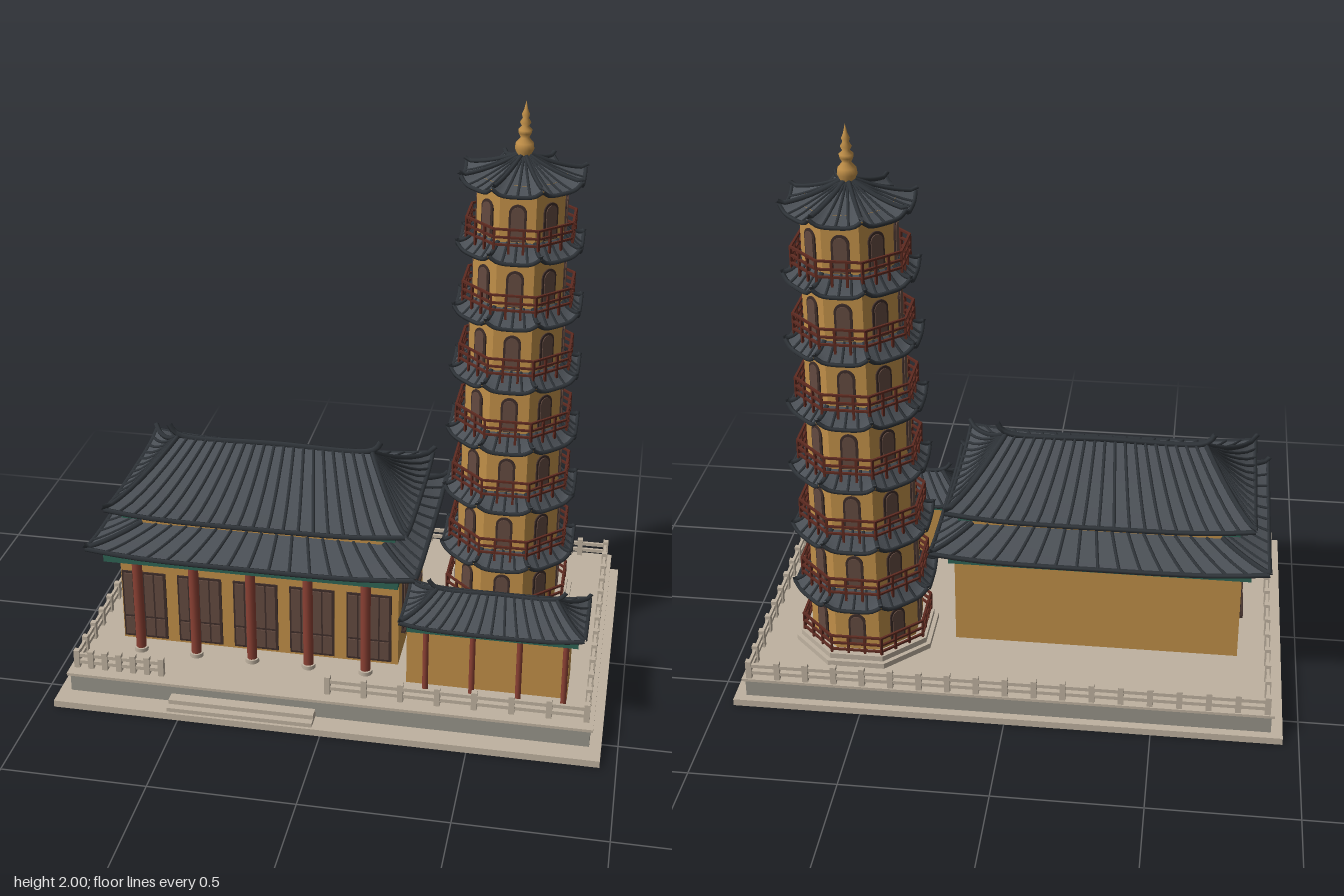
import * as THREE from 'three';
import { mergeGeometries } from 'three/addons/utils/BufferGeometryUtils.js';

const mat = (name, color, side = THREE.FrontSide) => {
  const m = new THREE.MeshStandardMaterial({ color, side });
  m.name = name;
  return m;
};
const V = (x, y, z) => new THREE.Vector3(x, y, z);

export function createModel() {
  const M = {
    stone: mat('pale stone', 0xbfb2a0),
    grey: mat('grey stone', 0x98958a),
    wall: mat('ochre wall', 0xc08f48),
    tile: mat('roof tile', 0x4a4f55, THREE.DoubleSide),
    ridge: mat('dark ridge tile', 0x30353a),
    green: mat('green beam', 0x2f6455),
    red: mat('red column', 0x8a4033),
    rail: mat('dark red rail', 0x5e2a20),
    dark: mat('dark frame', 0x3f2e2a),
    panel: mat('brown panel', 0x634a40),
    };
  M.gold = M.wall; // the finial shares the ochre
  const root = new THREE.Group();
  root.name = 'templeAndPagoda';

  // Merge geometries of one colour into one named mesh
  const add = (parent, name, material, geos) => {
    const flat = geos.map((g) => {
      const n = g.index ? g.toNonIndexed() : g;
      n.deleteAttribute('uv');
      return n;
    });
    const mesh = new THREE.Mesh(mergeGeometries(flat), material);
    mesh.name = name;
    parent.add(mesh);
    return mesh;
  };
  const group = (name) => {
    const g = new THREE.Group();
    g.name = name;
    root.add(g);
    return g;
  };
  // Box from minimum and maximum on each axis
  const box = (x0, x1, y0, y1, z0, z1) =>
    new THREE.BoxGeometry(x1 - x0, y1 - y0, z1 - z0).translate((x0 + x1) / 2, (y0 + y1) / 2, (z0 + z1) / 2);
  const post = (x, z, y0, y1, r) => new THREE.CylinderGeometry(r, r, y1 - y0, 12).translate(x, (y0 + y1) / 2, z);
  const tube = (pts, r, n = 6) => new THREE.TubeGeometry(new THREE.CatmullRomCurve3(pts), n, r, 5);
  const rect = (x0, x1, z0, z1) => [[x0, z1], [x1, z1], [x1, z0], [x0, z0]];
  const octagon = (apothem, cx, cz) => Array.from({ length: 8 }, (_, i) => {
    const a = (i - 0.5) * Math.PI / 4, r = apothem / Math.cos(Math.PI / 8);
    return [cx + r * Math.sin(a), cz + r * Math.cos(a)];
  });
  const octPrism = (a, y0, y1) => {
    const r = a / Math.cos(Math.PI / 8);
    const g = new THREE.CylinderGeometry(r, r, y1 - y0, 8).rotateY(Math.PI / 8).translate(0, (y0 + y1) / 2, 0).toNonIndexed();
    g.computeVertexNormals();
    return g;
  };

  // Curved roof between an outer and an inner ring, with ribs, hips and eave rolls
  function roof(parent, name, outer, inner, y0, y1, lift, ribs, r, power = 1.4) {
    const sheets = [], rolls = [], n = outer.length, NS = 12, NT = 6;
    outer.forEach((a0, i) => {
      const j = (i + 1) % n, a1 = outer[j], b0 = inner[i], b1 = inner[j];
      const at = (s, t, up = 0) => {
        const f = (k) => THREE.MathUtils.lerp(a0[k] + (a1[k] - a0[k]) * s, b0[k] + (b1[k] - b0[k]) * s, t);
        const y = y0 + (y1 - y0) * Math.pow(Math.max(t, 0), power) + lift * Math.pow(Math.abs(2 * s - 1), 4) * (1 - t) ** 2;
        return V(f(0), y + up, f(1));
      };
      const pos = [], idx = [];
      for (let u = 0; u <= NS; u++) for (let v = 0; v <= NT; v++) {
        pos.push(...at(u / NS, v / NT).toArray());
        const q = u * (NT + 1) + v, w = q + NT + 1;
        if (u < NS && v < NT) idx.push(q, w, w + 1, q, w + 1, q + 1);
      }
      const g = new THREE.BufferGeometry();
      g.setAttribute('position', new THREE.Float32BufferAttribute(pos, 3));
      g.setIndex(idx);
      g.computeVertexNormals();
      sheets.push(g);
      const line = (s, up) => [0, 0.2, 0.4, 0.6, 0.8, 1].map((t) => at(s, t, up));
      const count = ribs[i % ribs.length];
      for (let k = 1; k < count; k++) rolls.push(tube(line(k / count, r * 0.2), r));
      // Hip ridge with an upturned tip
      rolls.push(tube([at(0, -0.04, r * 2), ...line(0, r * 0.6)], r * 1.6, 8));
      rolls.push(tube(Array.from({ length: 9 }, (_, k) => at(k / 8, 0, -r * 0.4)), r * 1.5, 12));
    });
    add(parent, name + 'Tiles', M.tile, sheets);
    add(parent, name + 'Ridges', M.ridge, rolls);
  }
  // Main ridge with rising ends
  const mainRidge = (parent, x0, x1, y, z, rise, r) => add(parent, 'mainRidge', M.ridge, [tube([
    V(x0 - 0.03, y + rise, z), V(x0 - 0.015, y + rise * 0.4, z), V(x0 + 0.02, y, z), V((x0 + x1) / 2, y, z),
    V(x1 - 0.02, y, z), V(x1 + 0.015, y + rise * 0.4, z), V(x1 + 0.03, y + rise, z)], r, 36)]);

  // Terrace with steps
  const terrace = group('terrace');
  add(terrace, 'terraceSlabs', M.stone, [
    box(-0.945, 0.945, 0, 0.025, -0.63, 0.63), box(-0.915, 0.915, 0.09, 0.1, -0.61, 0.565)]);
  add(terrace, 'terraceBody', M.grey, [box(-0.905, 0.905, 0.025, 0.09, -0.6, 0.555)]);
  add(terrace, 'steps', M.stone, [box(-0.54, -0.03, 0.025, 0.04, 0.55, 0.62), box(-0.54, -0.03, 0.04, 0.056, 0.55, 0.595)]);

  // Stone balustrade
  const fence = [];
  const run = (x0, z0, x1, z1, n) => {
    for (let i = 0; i <= n; i++) {
      const x = x0 + (x1 - x0) * i / n, z = z0 + (z1 - z0) * i / n;
      fence.push(box(x - 0.01, x + 0.01, 0.1, 0.168, z - 0.01, z + 0.01));
    }
    for (const y of [0.115, 0.142]) fence.push(box(x0 - 0.005, x1 + 0.005, y, y + 0.013, Math.min(z0, z1) - 0.005, Math.max(z0, z1) + 0.005));
  };
  run(-0.89, -0.595, 0.89, -0.595, 18);
  run(-0.89, -0.595, -0.89, 0.515, 12);
  run(0.89, -0.595, 0.89, 0.515, 12);
  run(-0.89, 0.515, -0.585, 0.515, 6);
  run(0.005, 0.515, 0.89, 0.515, 7);
  add(terrace, 'balustrade', M.stone, fence);

  // Main hall
  const hall = group('mainHall');
  add(hall, 'hallWalls', M.wall, [box(-0.785, 0.215, 0.1, 0.47, -0.28, 0.3), box(-0.71, 0.155, 0.47, 0.6, -0.24, 0.26)]);
  add(hall, 'hallBeams', M.green, [box(-0.815, 0.225, 0.46, 0.487, -0.355, 0.39), box(-0.77, 0.2, 0.59, 0.615, -0.28, 0.3)]);
  const columns = [], bases = [], frames = [], panels = [];
  for (let i = 0; i < 5; i++) {
    const x = -0.295 + (i - 2) * 0.203;
    columns.push(post(x, 0.37, 0.1, 0.465, 0.018));
    bases.push(post(x, 0.37, 0.1, 0.115, 0.025));
    frames.push(box(x - 0.08, x + 0.08, 0.11, 0.378, 0.298, 0.305));
    for (let k = 0; k < 4; k++) {
      const px = x - 0.073 + k * 0.0375;
      panels.push(box(px, px + 0.032, 0.12, 0.19, 0.3, 0.309), box(px, px + 0.032, 0.2, 0.37, 0.3, 0.309));
    }
  }
  // Side windows and sills
  const sills = [];
  for (const [x, d] of [[0.215, 1], [-0.785, -1]]) for (const z of [0.16, -0.1]) {
    const slab = (o, y0, y1, z0, z1) => box(Math.min(x, x + d * o), Math.max(x, x + d * o), y0, y1, z0, z1);
    frames.push(slab(0.006, 0.2, 0.39, z - 0.07, z + 0.07));
    sills.push(slab(0.015, 0.19, 0.2, z - 0.075, z + 0.075));
    for (let k = 0; k < 3; k++) panels.push(slab(0.009, 0.208, 0.382, z - 0.062 + k * 0.043, z - 0.024 + k * 0.043));
  }
  add(hall, 'hallColumns', M.red, columns);
  add(hall, 'columnBases', M.stone, bases);
  add(hall, 'doorAndWindowFrames', M.dark, frames);
  add(hall, 'doorAndWindowPanels', M.panel, panels);
  add(hall, 'windowSills', M.dark, sills);
  roof(hall, 'lowerRoof', rect(-0.875, 0.285, -0.38, 0.4), rect(-0.71, 0.155, -0.24, 0.26), 0.49, 0.555, 0.022, [16, 10], 0.006, 1.2);
  roof(hall, 'upperRoof', rect(-0.82, 0.24, -0.315, 0.335), rect(-0.64, 0.07, 0.005, 0.015), 0.615, 0.775, 0.022, [20, 12], 0.006);
  mainRidge(hall, -0.64, 0.07, 0.782, 0.01, 0.042, 0.011);

  // Side gallery
  const gallery = group('sideGallery');
  add(gallery, 'galleryWalls', M.wall, [box(0.26, 0.815, 0.1, 0.34, 0.24, 0.4)]);
  add(gallery, 'galleryBeam', M.green, [box(0.265, 0.845, 0.333, 0.357, 0.2, 0.445)]);
  add(gallery, 'galleryColumns', M.red, [0.33, 0.49, 0.65, 0.805].map((x) => post(x, 0.428, 0.1, 0.335, 0.01)));
  roof(gallery, 'galleryRoof', rect(0.24, 0.865, 0.18, 0.46), rect(0.35, 0.76, 0.317, 0.323), 0.358, 0.435, 0.018, [14, 6], 0.005);
  mainRidge(gallery, 0.35, 0.76, 0.438, 0.32, 0.035, 0.008);

  // Pagoda, seven storeys
  const pagoda = group('pagoda');
  pagoda.position.set(0.536, 0, -0.257);
  add(pagoda, 'pagodaPlinth', M.stone, [octPrism(0.24, 0.1, 0.12), octPrism(0.225, 0.12, 0.14)]);
  const arch = (w, h, d) => {
    const s = new THREE.Shape();
    s.moveTo(-w, 0);
    s.lineTo(w, 0);
    s.lineTo(w, h - w);
    s.absarc(0, h - w, w, 0, Math.PI, false);
    s.closePath();
    return new THREE.ExtrudeGeometry(s, { depth: d, bevelEnabled: false, curveSegments: 10 });
  };
  const walls = [], rails = [], archFrames = [], archPanels = [];
  for (let k = 0; k < 7; k++) {
    const f = 0.14 + k * 0.2333, q = k / 6;
    const a = 0.185 - 0.037 * q, b = 0.213 - 0.033 * q, half = b * Math.tan(Math.PI / 8);
    walls.push(octPrism(a, f - 0.04, f + 0.21));
    for (let i = 0; i < 8; i++) {
      const turn = i * Math.PI / 4;
      archFrames.push(arch(0.03, 0.13, 0.005).translate(0, f + 0.015, a).rotateY(turn));
      archPanels.push(arch(0.022, 0.118, 0.008).translate(0, f + 0.018, a).rotateY(turn));
      for (const y of [0.012, 0.038, 0.066]) rails.push(box(-half, half, f + y - 0.003, f + y + 0.004, b - 0.004, b + 0.004).rotateY(turn));
      for (const s of [-1, -0.33, 0.33])
        rails.push(box(half * s - 0.004, half * s + 0.004, f - 0.02, f + 0.07, b - 0.004, b + 0.004).rotateY(turn));
    }
    const last = k === 6, eave = octagon(0.236 - 0.033 * q, 0, 0);
    const top = octagon(last ? 0.012 : a - 0.003, 0, 0);
    roof(pagoda, 'storeyRoof' + (k + 1), eave, top, f + 0.19, last ? 1.815 : f + 0.245, 0.025, [4], 0.005, 1.2);
  }
  add(pagoda, 'pagodaWalls', M.wall, walls);
  add(pagoda, 'balconyRails', M.rail, rails);
  add(pagoda, 'archFrames', M.dark, archFrames);
  add(pagoda, 'archPanels', M.panel, archPanels);
  // Finial
  const profile = [[0.022, 1.8], [0.024, 1.815], [0.033, 1.835], [0.03, 1.855], [0.014, 1.873], [0.022, 1.888], [0.024, 1.9],
    [0.012, 1.912], [0.019, 1.925], [0.01, 1.94], [0.014, 1.952], [0.007, 1.968], [0, 2]];
  add(pagoda, 'finial', M.gold, [new THREE.LatheGeometry(profile.map(([x, y]) => new THREE.Vector2(x, y)), 20)]);
  return root;
}
